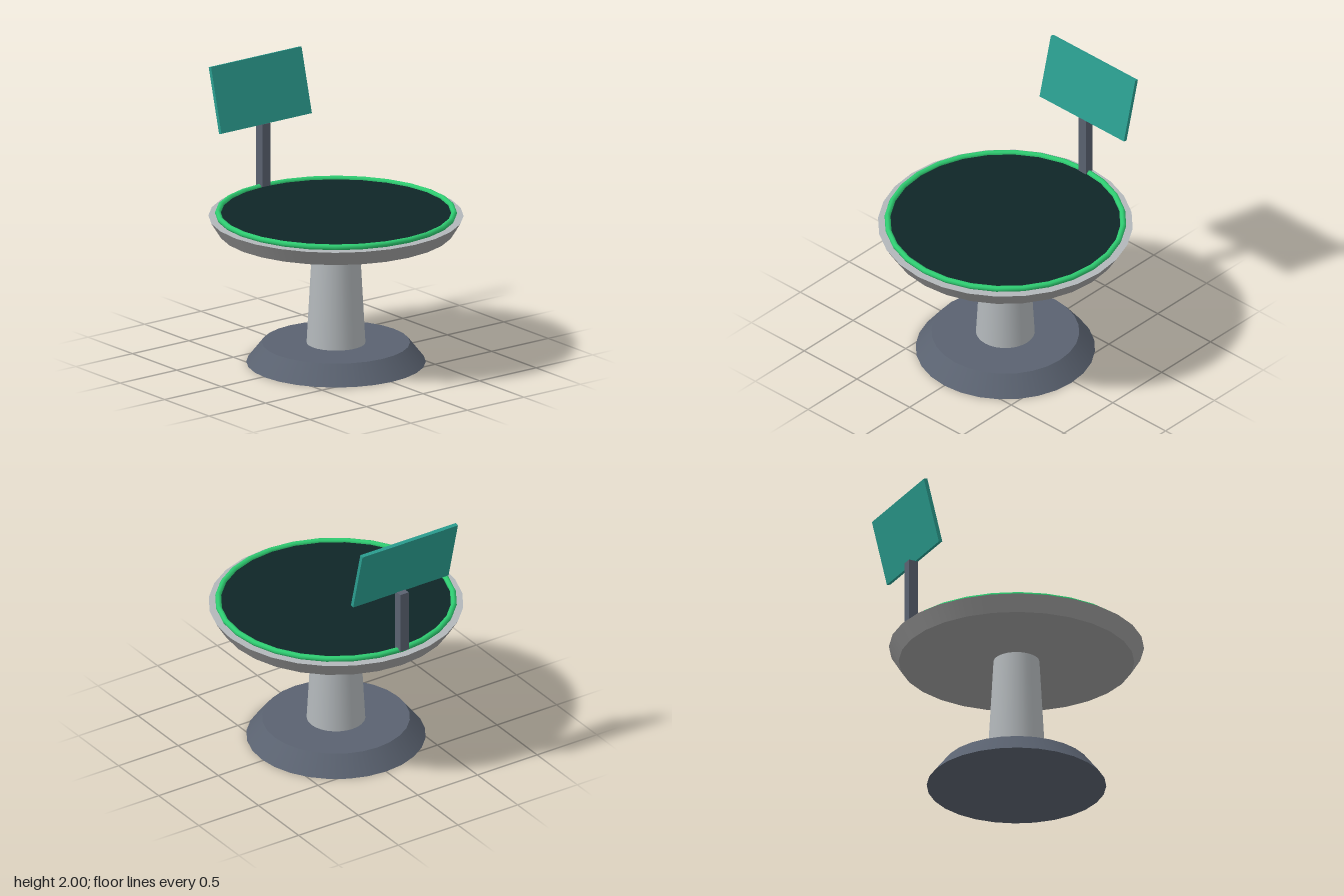
import * as THREE from 'three';

const SIDES = 28;
const AXIS_Z = 0.02; // the round table sits slightly forward of the origin

function mat(name, color) {
  const m = new THREE.MeshStandardMaterial({ color });
  m.name = name;
  return m;
}

export function createModel() {
  const slate = mat('slate', 0x5a6270);
  const lightGrey = mat('lightGrey', 0xb2b7ba);
  const midGrey = mat('midGrey', 0x9e9e9e);
  const green = mat('green', 0x2ecc71);
  const darkGlass = mat('darkGlass', 0x0f2627);
  const teal = mat('teal', 0x2a9d8f);

  const model = new THREE.Group();
  model.name = 'displayTable';

  function add(name, geometry, material, x, y, z) {
    const mesh = new THREE.Mesh(geometry, material);
    mesh.name = name;
    mesh.position.set(x, y, z);
    model.add(mesh);
    return mesh;
  }

  // Round part standing between two heights on the table axis
  function drum(name, rTop, rBottom, y0, y1, material) {
    const g = new THREE.CylinderGeometry(rTop, rBottom, y1 - y0, SIDES);
    return add(name, g, material, 0, (y0 + y1) / 2, AXIS_Z);
  }

  // Foot, column and flared table (side, top, underside)
  drum('base', 0.515, 0.625, 0, 0.14, slate);
  drum('pedestal', 0.16, 0.205, 0.14, 0.95, lightGrey);
  drum('tableTop', 0.888, 0.82, 0.95, 1.06, [midGrey, lightGrey, midGrey]);

  // Dark surface framed by a glowing ring
  drum('tableSurface', 0.815, 0.815, 1.06, 1.08, darkGlass);
  const ring = new THREE.TorusGeometry(0.822, 0.021, 8, SIDES).rotateX(Math.PI / 2);
  add('glowRing', ring, green, 0, 1.08, AXIS_Z);

  // Post and tilted screen at the back
  add('screenPost', new THREE.BoxGeometry(0.07, 0.455, 0.07), slate, 0, 1.3125, -0.8);
  const screen = add('screen', new THREE.BoxGeometry(0.8, 0.472, 0.028), teal, 0, 1.768, -0.833);
  screen.rotation.x = -0.25;

  return model;
}
